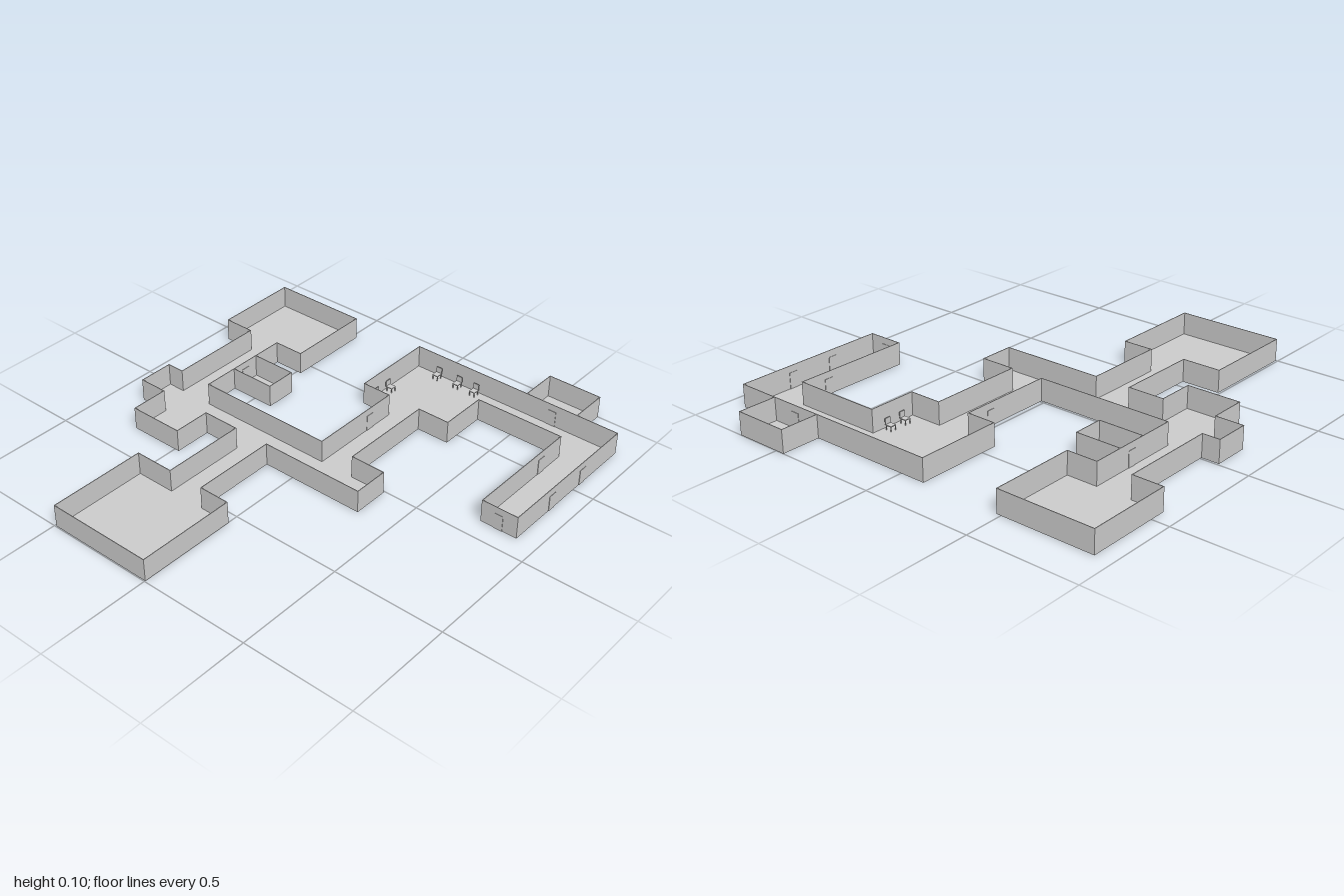
import * as THREE from 'three';

const FLOOR = 0.005, HEIGHT = 0.103, THICK = 0.003;

// Plan outlines as [x, z] corners
const MAIN = [
  [-0.14, 0.55], [0, 0.55], [0, 0.995], [-0.49, 0.995], [-0.49, 0.55], [-0.31, 0.55],
  [-0.31, 0.17], [-0.48, 0.17], [-0.48, 0.34], [-0.73, 0.34], [-0.73, 0.17], [-0.86, 0.17],
  [-0.86, 0.01], [-0.78, 0.01], [-0.78, -0.43], [-0.92, -0.43], [-0.92, -0.82], [-0.48, -0.82],
  [-0.48, -0.43], [-0.62, -0.43], [-0.62, 0.01], [0.02, 0.01], [0.02, -0.43], [-0.115, -0.43],
  [-0.115, -0.82], [0.905, -0.82], [0.905, -0.1], [0.74, -0.1], [0.74, -0.65], [0.33, -0.65],
  [0.33, -0.43], [0.18, -0.43], [0.18, 0.01], [0.34, 0.01], [0.34, 0.17], [-0.14, 0.17],
];
const CLOSET = [[-0.62, -0.29], [-0.41, -0.29], [-0.41, -0.15], [-0.62, -0.15]];
const ALCOVE = [[0.46, -0.82], [0.46, -0.998], [0.71, -0.998], [0.71, -0.82]];

const grey = new THREE.MeshStandardMaterial({ color: 0xcccccc, flatShading: true });
const sheet = new THREE.MeshStandardMaterial({ color: 0xcccccc, flatShading: true, side: THREE.DoubleSide });

function box(name, w, h, d, x, y, z) {
  const mesh = new THREE.Mesh(new THREE.BoxGeometry(w, h, d), grey);
  mesh.position.set(x, y, z);
  mesh.name = name;
  return mesh;
}

// One floor sheet filling an outline
function floor(name, points) {
  const shape = new THREE.Shape(points.map(([x, z]) => new THREE.Vector2(x, -z)));
  const mesh = new THREE.Mesh(new THREE.ShapeGeometry(shape).rotateX(-Math.PI / 2), sheet);
  mesh.position.y = FLOOR;
  mesh.name = name;
  return mesh;
}

// Thin walls along an outline, closed or open
function walls(name, points, closed) {
  const group = new THREE.Group();
  group.name = name;
  const count = closed ? points.length : points.length - 1;
  for (let i = 0; i < count; i++) {
    const [x0, z0] = points[i], [x1, z1] = points[(i + 1) % points.length];
    group.add(box('wall', Math.abs(x1 - x0) + THICK, HEIGHT, Math.abs(z1 - z0) + THICK,
      (x0 + x1) / 2, FLOOR + HEIGHT / 2, (z0 + z1) / 2));
  }
  return group;
}

// Door panel standing slightly proud of both wall faces
function door(x, z, alongX) {
  const w = 0.04, d = THICK + 0.004, h = 0.072;
  return box('door', alongX ? w : d, h, alongX ? d : w, x, FLOOR + h / 2, z);
}

// Small chair; its back is on the -z side before turning
function chair(x, z, turn) {
  const group = new THREE.Group();
  group.name = 'chair';
  group.add(box('seat', 0.028, 0.004, 0.03, 0, 0.022, 0.003));
  group.add(box('backrest', 0.028, 0.028, 0.004, 0, 0.036, -0.014));
  for (const sx of [-1, 1]) for (const sz of [-1, 1])
    group.add(box('leg', 0.003, 0.02, 0.003, sx * 0.012, 0.01, 0.003 + sz * 0.013));
  group.position.set(x, FLOOR, z);
  group.rotation.y = turn;
  return group;
}

export function createModel() {
  const model = new THREE.Group();
  model.name = 'floorPlan';

  // Connected rooms and corridors, then the two walled-off side rooms
  model.add(floor('mainFloor', MAIN), walls('mainWalls', MAIN, true));
  model.add(floor('closetFloor', CLOSET), walls('closetWalls', CLOSET, false));
  model.add(floor('alcoveFloor', ALCOVE), walls('alcoveWalls', ALCOVE, false));

  // Doors along the corridors
  for (const [x, z, alongX] of [
    [0.59, -0.82, true], [0.82, -0.1, true], [0.905, -0.56, false], [0.905, -0.34, false],
    [0.74, -0.51, false], [0.02, -0.3, false], [-0.62, -0.22, false],
  ]) model.add(door(x, z, alongX));

  // Chairs against three walls of the back room
  for (const x of [0.01, 0.12, 0.21]) model.add(chair(x, -0.792, 0));
  for (const z of [-0.58, -0.5]) {
    model.add(chair(-0.088, z, Math.PI / 2));
    model.add(chair(0.298, z - 0.006, -Math.PI / 2));
  }
  return model;
}
